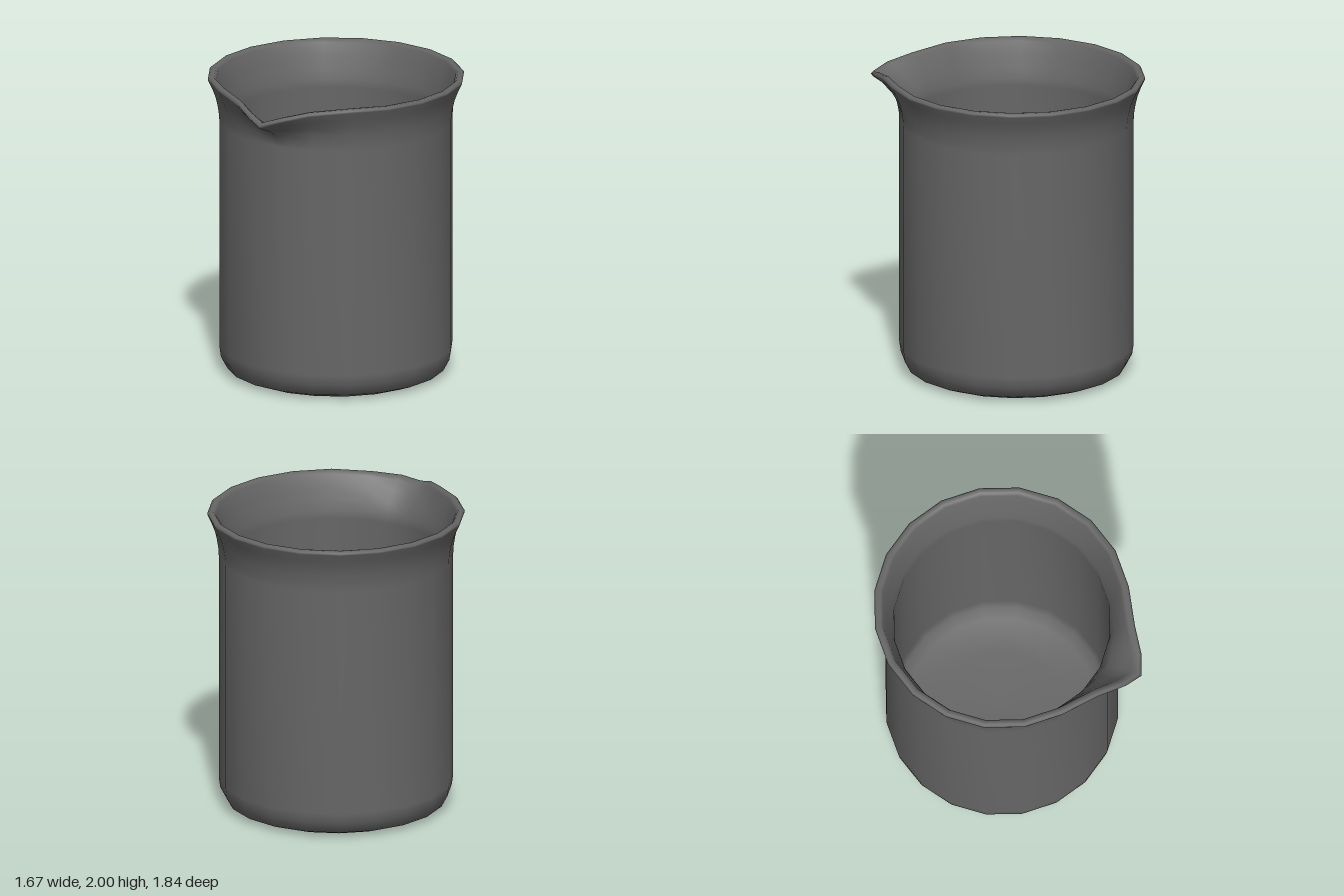
import * as THREE from 'three';

const SIDES = 20;
const CENTRE_Z = -0.085;

// Wall profile from outside base centre, over the rim, to inside floor centre.
// Each row: radius, height, and (where it differs) radius, height along the spout.
const PROFILE = [
  [0, 0], [0.62, 0], [0.71, 0.035], [0.75, 0.11], [0.76, 0.18],
  [0.76, 1.7],
  [0.763, 1.75, 0.775, 1.75],
  [0.772, 1.81, 0.805, 1.79],
  [0.785, 1.865, 0.85, 1.823],
  [0.808, 1.925, 0.935, 1.858],
  [0.832, 1.975, 0.99, 1.882],
  [0.835, 1.988, 1.005, 1.9],
  [0.822, 2.0, 0.985, 1.92],
  [0.795, 1.998, 0.955, 1.915],
  [0.78, 1.98, 0.93, 1.9],
  [0.755, 1.9, 0.85, 1.865],
  [0.73, 1.82, 0.77, 1.81],
  [0.712, 1.75, 0.74, 1.76],
  [0.705, 1.7],
  [0.705, 0.2], [0.685, 0.13], [0.62, 0.085], [0.4, 0.06], [0, 0.05],
];

// Columns round the wall; an extra column each side sharpens the spout.
// reach and drop say how far a column follows the spout outward and downward.
function makeColumns() {
  const step = (Math.PI * 2) / SIDES;
  const extra = THREE.MathUtils.degToRad(7);
  const extraScale = Math.cos(step / 2) / Math.cos(step / 2 - extra);
  const side = { scale: extraScale, reach: 0.78, drop: 0.58 };
  const columns = [{ angle: 0, scale: 1, reach: 1, drop: 1 }, { angle: extra, ...side }];
  for (let i = 1; i < SIDES; i++) {
    const weight = i === 1 || i === SIDES - 1 ? 0.21 : 0;
    columns.push({ angle: i * step, scale: 1, reach: weight, drop: weight });
  }
  columns.push({ angle: -extra, ...side });
  return columns;
}

function makeBeakerGeometry() {
  const columns = makeColumns();
  const rows = PROFILE.length;
  const positions = [];
  const indices = [];
  columns.forEach(({ angle, scale, reach, drop }, i) => {
    const next = (i + 1) % columns.length;
    PROFILE.forEach(([r, y, spoutR = r, spoutY = y], j) => {
      // The spout is narrow where it leaves the wall and widens at the lip
      const widen = THREE.MathUtils.smoothstep(spoutY, 1.75, 1.88);
      const follow = THREE.MathUtils.lerp(reach * reach, reach, widen);
      const radius = r * scale + (spoutR - r) * follow;
      positions.push(
        Math.sin(angle) * radius,
        y + (spoutY - y) * drop,
        Math.cos(angle) * radius + CENTRE_Z
      );
      if (j === rows - 1) return;
      const a = i * rows + j;
      const b = next * rows + j;
      // The first and last bands are fans round a centre point
      if (j > 0) indices.push(a, b, a + 1);
      if (j < rows - 2) indices.push(b, b + 1, a + 1);
    });
  });
  const geometry = new THREE.BufferGeometry();
  geometry.setAttribute('position', new THREE.Float32BufferAttribute(positions, 3));
  geometry.setIndex(indices);
  geometry.computeVertexNormals();
  return geometry;
}

export function createModel() {
  const group = new THREE.Group();
  group.name = 'beaker';
  const material = new THREE.MeshStandardMaterial({ color: 0x666666 });

  // Thick-walled vessel with flared rim and pouring spout
  const vessel = new THREE.Mesh(makeBeakerGeometry(), material);
  vessel.name = 'vessel';
  group.add(vessel);
  return group;
}
